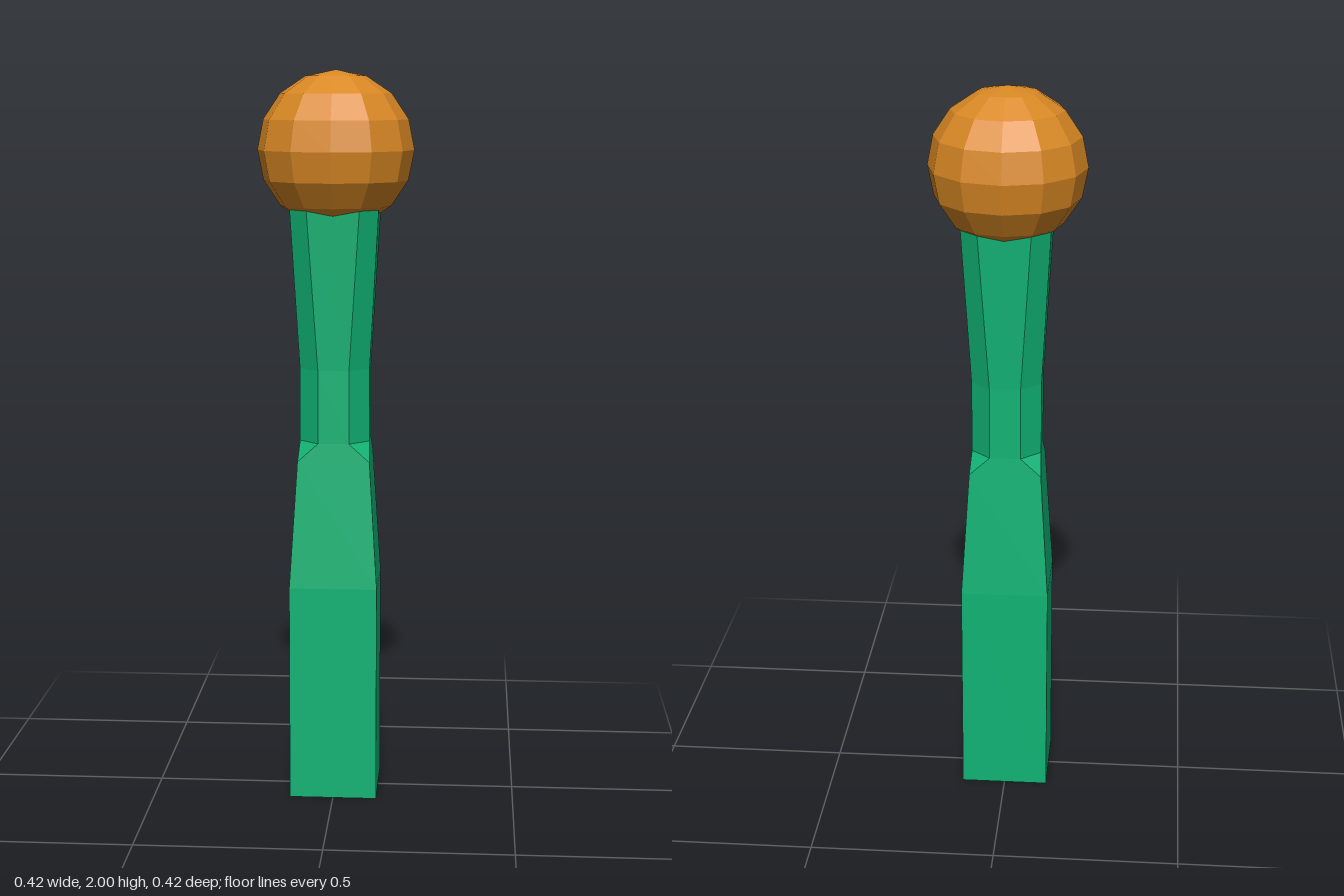
import * as THREE from 'three';

// Chamfered square ring: half width h, half length of each flat side c (c = h is a plain square)
function ring(y, h, c) {
  return [[h, -c], [h, c], [c, h], [-c, h], [-h, c], [-h, -c], [-c, -h], [c, -h]]
    .map(([x, z]) => new THREE.Vector3(x, y, z));
}

// Skin the rings from bottom to top and cap both ends
function loft(rings) {
  const points = [];
  const tri = (a, b, c) => {
    if (a.equals(b) || b.equals(c) || c.equals(a)) return; // collapsed corner
    points.push(a, b, c);
  };
  for (let i = 0; i < rings.length - 1; i++) {
    const lo = rings[i], hi = rings[i + 1];
    for (let j = 0; j < 8; j++) {
      const k = (j + 1) % 8;
      tri(lo[j], hi[j], hi[k]);
      tri(lo[j], hi[k], lo[k]);
    }
  }
  const bottom = rings[0], top = rings[rings.length - 1];
  for (let j = 1; j < 7; j++) {
    tri(bottom[0], bottom[j], bottom[j + 1]);
    tri(top[0], top[j + 1], top[j]);
  }
  const geometry = new THREE.BufferGeometry().setFromPoints(points);
  geometry.computeVertexNormals();
  return geometry;
}

export function createModel() {
  const model = new THREE.Group();
  model.name = 'ballToppedPost';

  // Square base tapering into a chamfered neck that flares under the ball
  const post = new THREE.Mesh(
    loft([
      ring(0, 0.12, 0.12),
      ring(0.6, 0.12, 0.12),
      ring(0.95, 0.098, 0.098),
      ring(1.0, 0.095, 0.042),
      ring(1.2, 0.095, 0.042),
      ring(1.64, 0.12, 0.071),
    ]),
    new THREE.MeshStandardMaterial({ color: 0x10b374, flatShading: true })
  );
  post.name = 'post';

  // Faceted ball
  const ball = new THREE.Mesh(
    new THREE.SphereGeometry(0.212, 12, 8),
    new THREE.MeshStandardMaterial({ color: 0xd98824, flatShading: true })
  );
  ball.name = 'ball';
  ball.position.y = 1.788;

  model.add(post, ball);
  return model;
}
